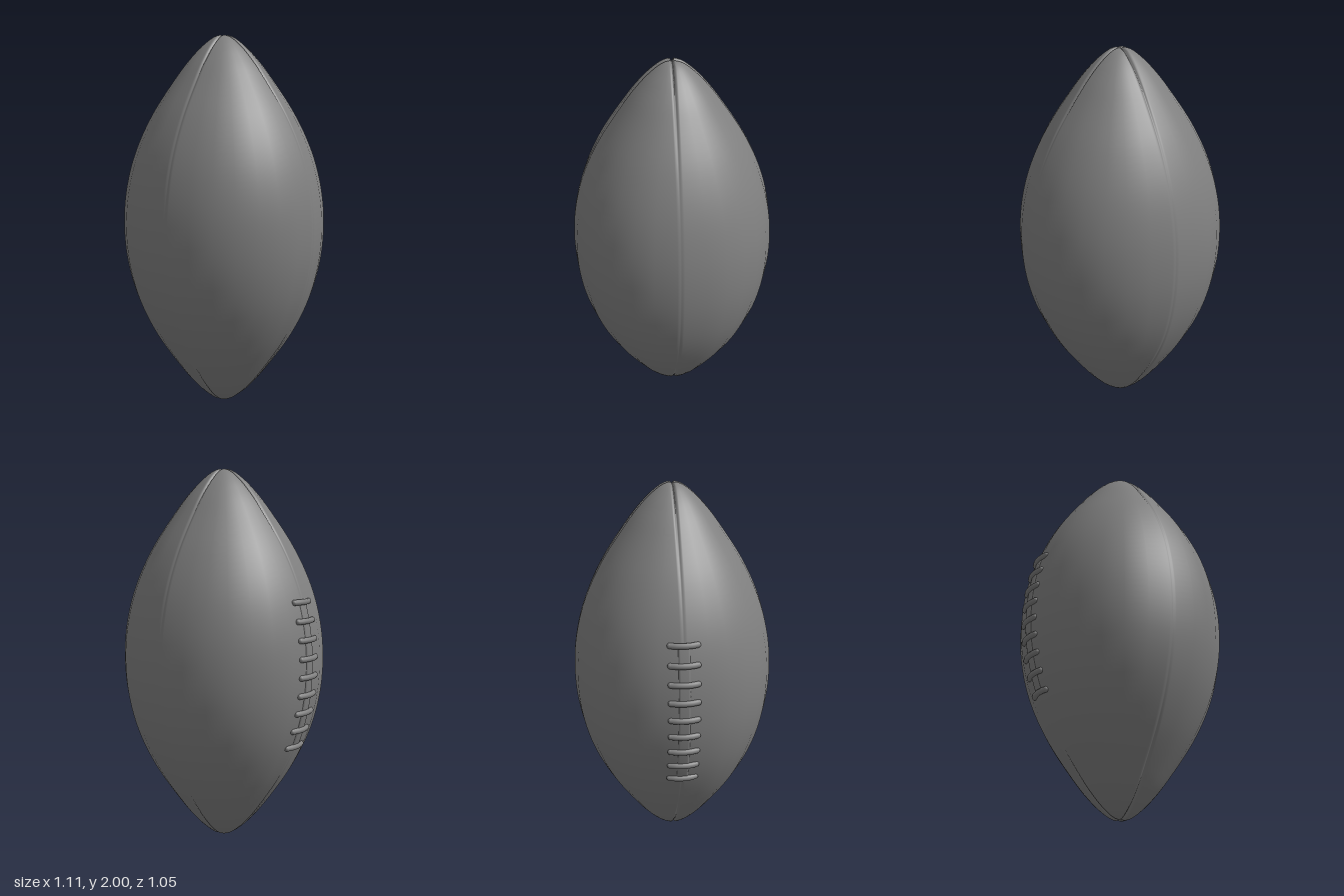
import * as THREE from 'three';

const CX = 0.008, Z_SCALE = 0.967;

// Pole-to-pole profile as (radius, height) points, mirrored about the middle
const half = [[0.543, 0], [0.526, 0.2], [0.472, 0.4], [0.376, 0.6], [0.24, 0.8],
  [0.158, 0.9], [0.095, 0.96], [0.046, 0.993], [0, 1.005]];
const profile = new THREE.SplineCurve([
  ...half.slice(1).reverse().map(([r, h]) => new THREE.Vector2(r, 1 - h)),
  ...half.map(([r, h]) => new THREE.Vector2(r, 1 + h)),
]);
const rows = profile.getPoints(96);

// Radius of the ball at height y
function radiusAt(y) {
  const i = Math.max(1, rows.findIndex((p) => p.y >= y));
  const a = rows[i - 1], b = rows[i];
  return a.x + (b.x - a.x) * (y - a.y) / (b.y - a.y);
}

// Point on the ball at an angle around the lace side (-x), lifted off the skin
function onLaceSide(y, angle, lift) {
  const r = radiusAt(y) + lift;
  return new THREE.Vector3(CX - r * Math.cos(angle), y, Z_SCALE * r * Math.sin(angle));
}

// Four panels with pressed-in seams that deepen towards the tips
function ballGeometry() {
  const near = [0, 0.003, 0.006, 0.011, 0.018];
  const steps = 7, Q = Math.PI / 2;
  const pos = [], index = [];
  const last = rows.length - 1;
  let columns = 0;
  rows.forEach((p, i) => {
    const r = Math.max(p.x, 0);
    const a = rows[Math.max(i - 1, 0)], b = rows[Math.min(i + 1, last)];
    const t = b.clone().sub(a).normalize();
    // Columns crowd around each seam, the rest are evenly spread
    const offsets = near.map((d, k) => Math.min(d / Math.max(r, 1e-4), k * 0.07));
    const edge = offsets[near.length - 1];
    const quarter = [...offsets];
    for (let k = 1; k < steps; k++) quarter.push(edge + (Q - 2 * edge) * k / steps);
    for (let k = near.length - 1; k > 0; k--) quarter.push(Q - offsets[k]);
    columns = quarter.length * 4;
    const depth = 0.0012 + 0.013 * Math.abs(p.y - 1) ** 4;
    for (let q = 0; q < 4; q++) {
      for (const s of quarter) {
        const d = r * Math.min(Math.sin(s), Math.cos(s));
        const dent = depth * Math.exp(-((d / 0.007) ** 2));
        const rr = Math.max(r - dent * t.y, 0);
        const th = s + q * Q;
        pos.push(CX + rr * Math.cos(th), p.y + dent * t.x, Z_SCALE * rr * Math.sin(th));
      }
    }
  });
  for (let i = 0; i < last; i++) {
    for (let j = 0; j < columns; j++) {
      const k = (j + 1) % columns;
      const a = i * columns + j, b = i * columns + k;
      const c = a + columns, d = b + columns;
      index.push(a, c, b, b, c, d);
    }
  }
  const g = new THREE.BufferGeometry();
  g.setAttribute('position', new THREE.Float32BufferAttribute(pos, 3));
  g.setIndex(index);
  g.computeVertexNormals();
  return g;
}

// Thin strip wrapped on the skin, its long edges tucked in
function stripGeometry() {
  const width = 0.064;
  const g = new THREE.PlaneGeometry(width, 0.752, 10, 30);
  const p = g.attributes.position;
  for (let i = 0; i < p.count; i++) {
    const x = p.getX(i), y = p.getY(i) + 0.956;
    const lift = Math.abs(x) > width * 0.45 ? -0.004 : 0.004;
    const v = onLaceSide(y, x / radiusAt(y), lift);
    p.setXYZ(i, v.x, v.y, v.z);
  }
  g.computeVertexNormals();
  return g;
}

export function createModel() {
  const group = new THREE.Group();
  const material = new THREE.MeshStandardMaterial({ color: 0x808080 });
  const add = (geometry, name, parent = group) => {
    const mesh = new THREE.Mesh(geometry, material);
    mesh.name = name;
    parent.add(mesh);
    return mesh;
  };

  add(ballGeometry(), 'ball');

  const laces = new THREE.Group();
  laces.name = 'laces';
  group.add(laces);
  add(stripGeometry(), 'laceStrip', laces);

  // Cross laces, arched over the seam with rounded ends sunk into the skin
  const R = 0.015;
  for (let n = 0; n < 9; n++) {
    const y = 0.58 + n * 0.094;
    const reach = 0.07 / radiusAt(y);
    const points = [-1, -0.5, 0, 0.5, 1].map((s) => onLaceSide(y, s * reach, 0.007 - 0.009 * s * s));
    const curve = new THREE.CatmullRomCurve3(points);
    add(new THREE.TubeGeometry(curve, 16, R, 10), 'crossLace', laces);
    for (const end of [points[0], points[4]]) {
      add(new THREE.SphereGeometry(R, 10, 8), 'crossLaceEnd', laces).position.copy(end);
    }
  }
  return group;
}
